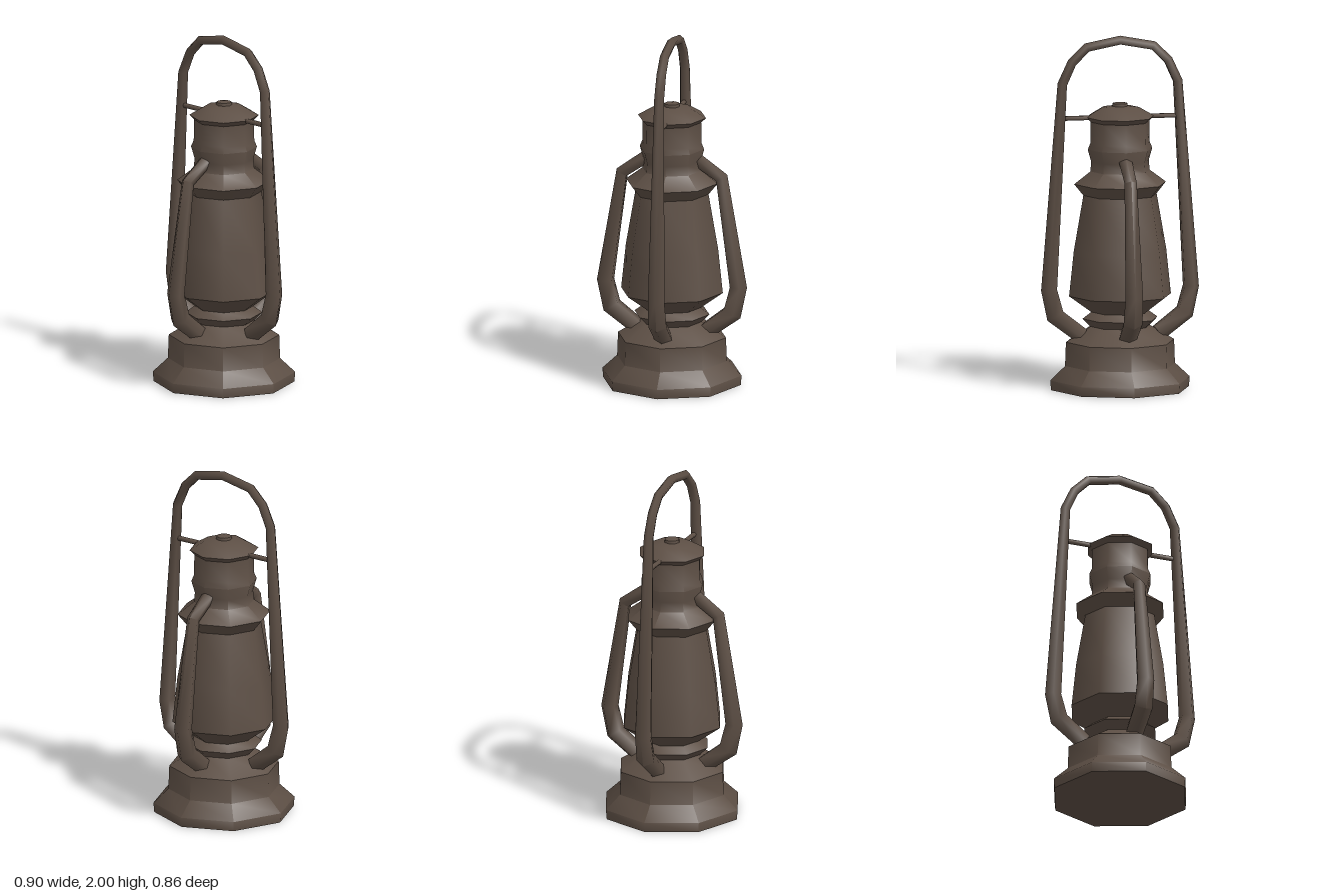
import * as THREE from 'three';
import { toCreasedNormals } from 'three/addons/utils/BufferGeometryUtils.js';

const metal = new THREE.MeshStandardMaterial({ color: 0x5d4f45 });
metal.name = 'dark bronze metal';

function part(name, geometry, parent) {
  const mesh = new THREE.Mesh(geometry, metal);
  mesh.name = name;
  parent.add(mesh);
  return mesh;
}

// Eight-sided turned part from [radius, height] pairs, bottom to top
function turned(profile) {
  const points = profile.map(([r, y]) => new THREE.Vector2(r, y));
  return toCreasedNormals(new THREE.LatheGeometry(points, 8), 0.95);
}

// Tapering five-sided tube along [x, y, radius] points, with a ridge on the outer side
function taperedTube(path) {
  const sides = 5, last = path.length - 1;
  const pos = [], index = [];
  const at = (i) => new THREE.Vector2(path[i][0], path[i][1]);
  path.forEach(([x, y, r], i) => {
    const before = at(i).sub(at(Math.max(i - 1, 0))).normalize();
    const after = at(Math.min(i + 1, last)).sub(at(i)).normalize();
    const t = before.clone().add(after).normalize();
    const miter = 1 / Math.max(t.dot(i < last ? after : before), 0.7);
    for (let j = 0; j < sides; j++) {
      const a = (j / sides) * Math.PI * 2;
      const n = Math.cos(a) * r * miter;
      pos.push(x + t.y * n, y - t.x * n, Math.sin(a) * r * 1.06);
    }
  });
  for (let i = 0; i < last; i++) {
    for (let j = 0; j < sides; j++) {
      const a = i * sides + j, b = i * sides + (j + 1) % sides;
      index.push(a, a + sides, b, b, a + sides, b + sides);
    }
  }
  // End caps
  const e = last * sides;
  for (let k = 1; k < sides - 1; k++) index.push(0, k, k + 1, e, e + k + 1, e + k);
  const g = new THREE.BufferGeometry();
  g.setAttribute('position', new THREE.Float32BufferAttribute(pos, 3));
  g.setIndex(index);
  return toCreasedNormals(g, 1.35);
}

export function createModel() {
  const model = new THREE.Group();
  model.name = 'lantern';
  const body = new THREE.Group();
  body.name = 'lanternBody';
  body.rotation.y = -0.058;
  model.add(body);

  // Fuel base, with the burner collar above it
  part('base', turned([
    [0, 0], [0.395, 0], [0.4, 0.055], [0.315, 0.135], [0.31, 0.27],
    [0.17, 0.355], [0.215, 0.4], [0.165, 0.437],
  ]), body);
  // Globe
  part('globe', turned([[0.165, 0.437], [0.292, 0.53], [0.265, 0.785], [0.21, 1.1]]), body);
  // Flared collar and ribbed chimney
  part('chimney', turned([
    [0.21, 1.1], [0.263, 1.165], [0.17, 1.235], [0.165, 1.29],
    [0.185, 1.36], [0.17, 1.395], [0.168, 1.515],
  ]), body);
  // Cap with a small knob
  part('cap', turned([[0.168, 1.515], [0.195, 1.542], [0.11, 1.592], [0.045, 1.602]]), body);
  part('capKnob', turned([[0.045, 1.595], [0.043, 1.618], [0, 1.625]]), body);

  // Side frame and carrying handle in one loop
  const half = [
    [0.22, 0.31, 0.05], [0.37, 0.425, 0.052], [0.405, 0.57, 0.047],
    [0.33, 1.735, 0.028], [0.275, 1.855, 0.027], [0.19, 1.938, 0.026],
  ];
  const mirrored = half.map(([x, y, r]) => [-x, y, r]).reverse();
  part('handleFrame', taperedTube([...half, [0, 1.974, 0.026], ...mirrored]), body);

  // Front and back air tubes
  for (const [name, turn] of [['frontTube', -1], ['backTube', 1]]) {
    const tube = part(name, taperedTube([
      [0.2, 0.31, 0.05], [0.345, 0.42, 0.054], [0.38, 0.57, 0.05],
      [0.285, 1.2, 0.035], [0.15, 1.295, 0.038],
    ]), body);
    tube.rotation.y = turn * Math.PI / 2;
  }

  // Rods joining the chimney to the handle
  for (const [name, side] of [['leftRod', 1], ['rightRod', -1]]) {
    const rod = part(name, toCreasedNormals(new THREE.CylinderGeometry(0.014, 0.014, 0.21, 6), 1.2), body);
    rod.rotation.z = Math.PI / 2;
    rod.position.set(side * 0.24, 1.54, 0);
  }
  return model;
}
